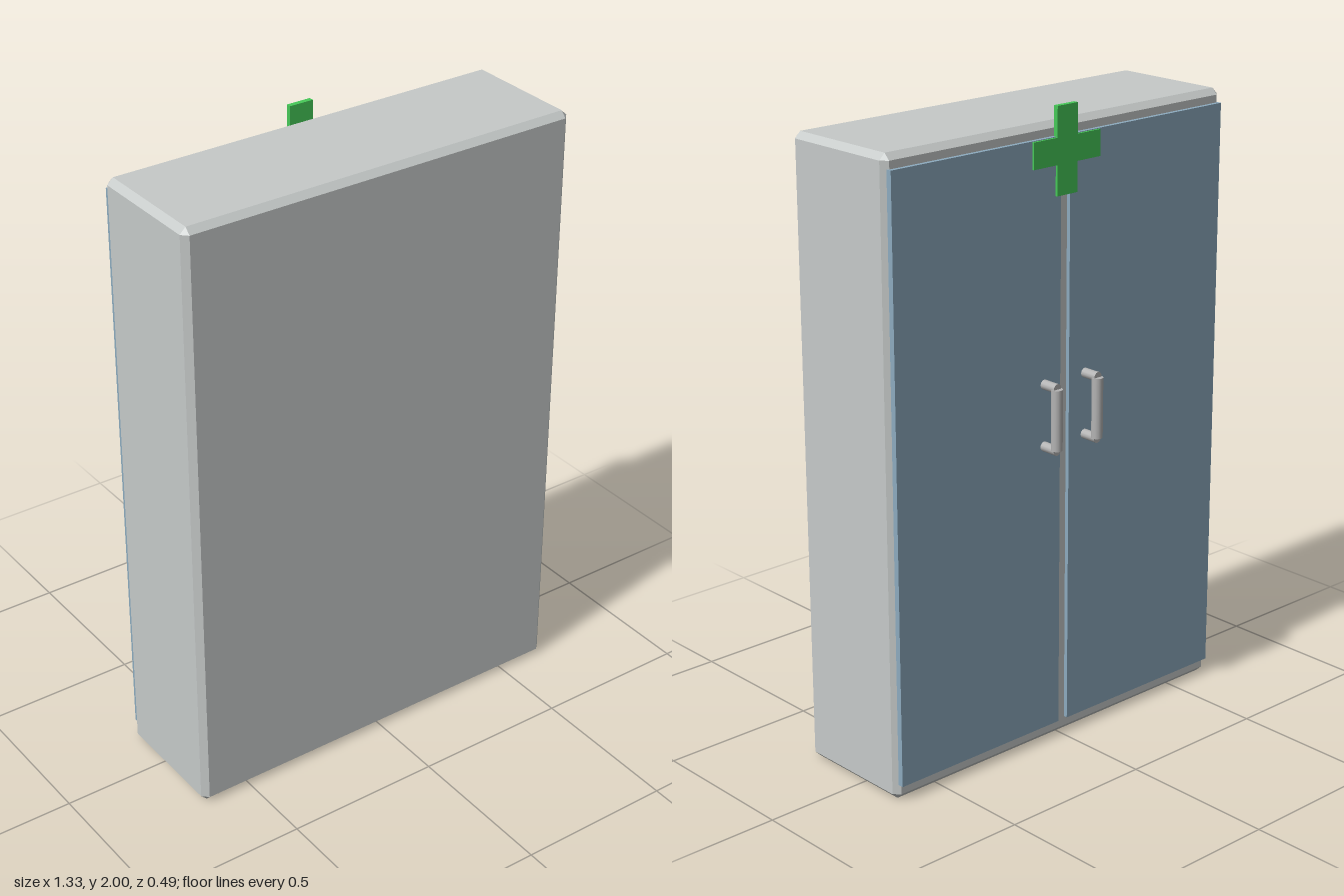
import * as THREE from 'three';
import { ConvexGeometry } from 'three/addons/geometries/ConvexGeometry.js';

const mat = (name, color) => {
  const m = new THREE.MeshStandardMaterial({ color });
  m.name = name;
  return m;
};

// Box with every edge cut at 45 degrees
function chamferedBox(w, h, d, c) {
  const points = [];
  for (const sx of [-1, 1]) for (const sy of [-1, 1]) for (const sz of [-1, 1]) {
    const half = [w / 2, h / 2, d / 2];
    for (let keep = 0; keep < 3; keep++) {
      const p = half.map((v, i) => (i === keep ? v : v - c));
      points.push(new THREE.Vector3(p[0] * sx, p[1] * sy, p[2] * sz));
    }
  }
  return new ConvexGeometry(points);
}

export function createModel() {
  const cabinetGrey = mat('cabinet grey', 0xc6cac9);
  const doorBlue = mat('door blue', 0x8dabbf);
  const handleGrey = mat('handle grey', 0xb4b4b4);
  const crossGreen = mat('cross green', 0x46c958);

  const model = new THREE.Group();
  model.name = 'medicineCabinet';
  const add = (parent, name, geometry, material, x, y, z) => {
    const mesh = new THREE.Mesh(geometry, material);
    mesh.name = name;
    mesh.position.set(x, y, z);
    parent.add(mesh);
    return mesh;
  };

  // Cabinet body
  add(model, 'body', chamferedBox(1.33, 1.953, 0.408, 0.019), cabinetGrey, 0, 0.9765, 0.04);

  // Pair of doors, each with a handle near the middle gap
  const doorGeo = new THREE.BoxGeometry(0.634, 1.86, 0.018);
  const postGeo = new THREE.CylinderGeometry(0.015, 0.015, 0.062, 12).rotateX(Math.PI / 2);
  const gripGeo = new THREE.CylinderGeometry(0.018, 0.018, 0.19, 12);
  for (const [side, s] of [['left', 1], ['right', -1]]) {
    add(model, side + 'Door', doorGeo, doorBlue, s * 0.335, 0.98, -0.168);
    const handle = new THREE.Group();
    handle.name = side + 'Handle';
    handle.position.set(s * 0.083, 1.077, 0);
    add(handle, 'grip', gripGeo, handleGrey, 0, 0, -0.232);
    for (const v of [-1, 1]) add(handle, 'post', postGeo, handleGrey, 0, v * 0.097, -0.203);
    model.add(handle);
  }

  // Cross standing over the top edge of the doors
  const a = 0.04, b = 0.132;
  const outline = [[a, b], [a, a], [b, a], [b, -a], [a, -a], [a, -b],
    [-a, -b], [-a, -a], [-b, -a], [-b, a], [-a, a], [-a, b]];
  const shape = new THREE.Shape(outline.map(([x, y]) => new THREE.Vector2(x, y)));
  const crossGeo = new THREE.ExtrudeGeometry(shape, { depth: 0.016, bevelEnabled: false });
  add(model, 'cross', crossGeo, crossGreen, 0, 1.868, -0.184);

  return model;
}
